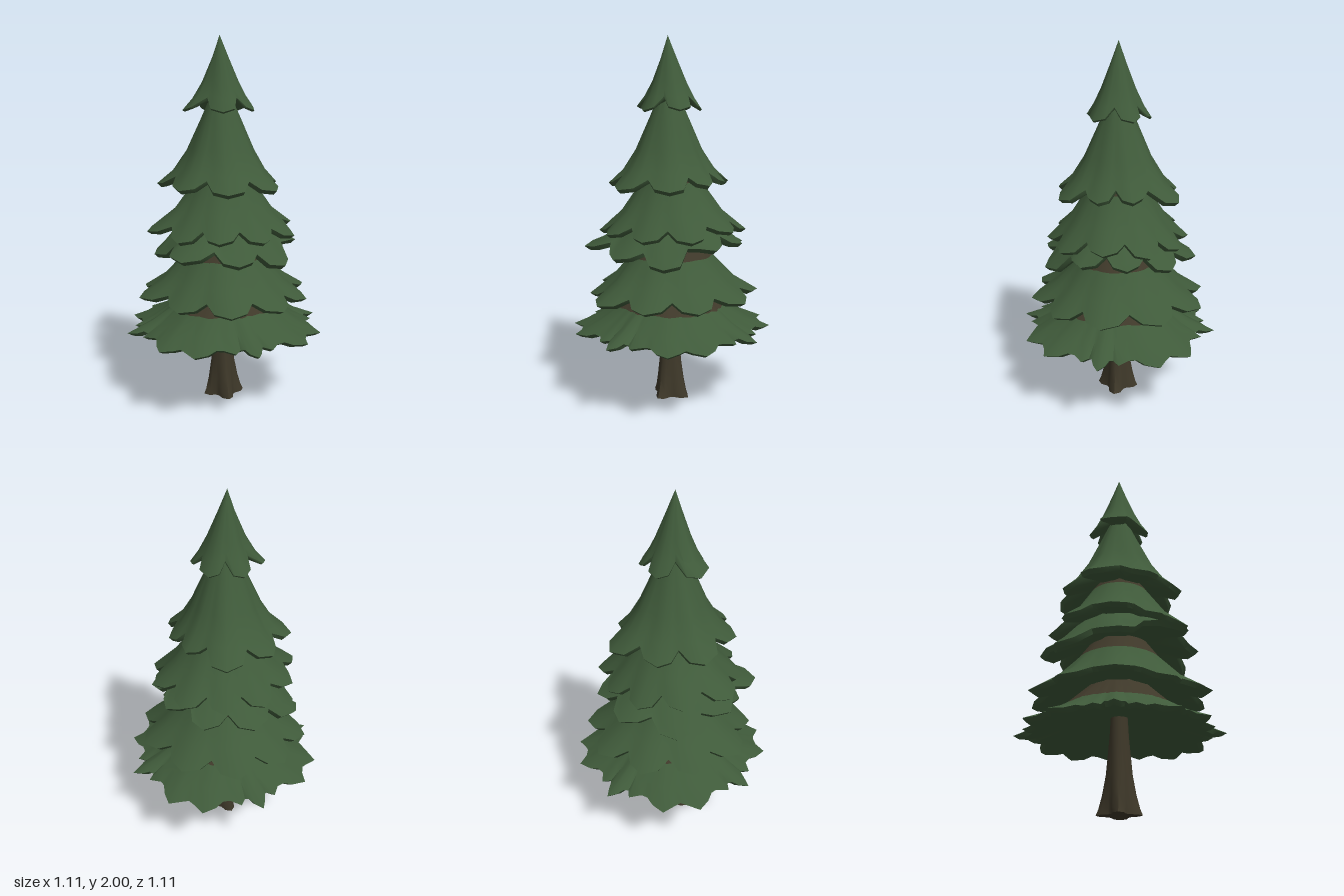
import * as THREE from 'three';
import { toCreasedNormals } from 'three/addons/utils/BufferGeometryUtils.js';

const leaf = new THREE.MeshStandardMaterial({ color: 0x3f5a3a });
leaf.name = 'needle green';
const bark = new THREE.MeshStandardMaterial({ color: 0x3e3829 });
bark.name = 'bark brown';

// Closed rings of points, listed from the top outwards and back underneath, joined by quads.
function loft(rings, barkRows = 0) {
  const n = rings[0].length;
  const index = [];
  for (let i = 0; i < rings.length - 1; i++) {
    for (let j = 0; j < n; j++) {
      const a = i * n + j, b = i * n + (j + 1) % n;
      index.push(a, b, a + n, b, b + n, a + n);
    }
  }
  const geometry = new THREE.BufferGeometry();
  geometry.setAttribute('position', new THREE.Float32BufferAttribute(rings.flat(2), 3));
  geometry.setIndex(index);
  const split = barkRows * n * 6;
  if (split) geometry.addGroup(0, split, 1);
  geometry.addGroup(split, index.length - split, 0);
  return toCreasedNormals(geometry, 0.95);
}

// Rim of a branch skirt: every tip gets two shoulders and a raised notch beside it.
function rimColumns(tips, notch, lift) {
  const columns = [];
  tips.forEach(([angle, r, y], k) => {
    const [nextAngle, nextR, nextY] = tips[(k + 1) % tips.length];
    const gap = (nextAngle - angle + 360) % 360;
    columns.push([angle, r, y]);
    columns.push([angle + gap * 0.3, r * 0.92, y + lift * 0.25]);
    columns.push([angle + gap * 0.5, (r + nextR) / 2 * notch, (y + nextY) / 2 + lift]);
    columns.push([angle + gap * 0.7, nextR * 0.92, nextY + lift * 0.25]);
  });
  return columns;
}

// One skirt of branches; profile rows are [outward share, downward share].
function skirt({ name, tips, top, topR, profile, notch, lift,
  thick = 0.018, hollow = 0.05, barkRows = 0, cx = 0 }) {
  const columns = rimColumns(tips, notch, lift);
  const meanR = columns.reduce((s, c) => s + c[1], 0) / columns.length;
  const meanY = columns.reduce((s, c) => s + c[2], 0) / columns.length;
  const place = (angle, r, y, shift = 0) => {
    const t = THREE.MathUtils.degToRad(angle);
    return [shift + r * Math.cos(t), y, r * Math.sin(t)];
  };
  const rings = profile.map(([f, h]) => columns.map(([angle, r, y]) => {
    const rim = meanR + (r - meanR) * f;
    const drop = meanY + (y - meanY) * f;
    return place(angle, topR + (rim - topR) * f, top + (drop - top) * h, cx * (1 - f));
  }));
  rings.push(columns.map(([a, r, y]) => place(a, r * 0.94, y - thick)));
  rings.push(columns.map(([a, r, y]) => place(a, r * 0.6, meanY + hollow * 0.45 + (y - meanY) * 0.5)));
  rings.push(columns.map(([a]) => place(a, 0.03, meanY + hollow)));
  const mesh = new THREE.Mesh(loft(rings, barkRows), [leaf, bark]);
  mesh.name = name;
  return mesh;
}

// Trunk with flared roots
function makeTrunk() {
  const sides = 20;
  const rows = [[0.55, 0.042, 0], [0.4, 0.05, 0], [0.2, 0.063, 0.08],
    [0.1, 0.074, 0.16], [0.03, 0.084, 0.24], [0, 0.09, 0.3], [0, 0.001, 0]];
  const rings = rows.map(([y, r, flare]) => Array.from({ length: sides }, (_, j) => {
    const t = j / sides * Math.PI * 2;
    const k = r * (1 + flare * Math.cos(4 * t) + flare * 0.3 * Math.cos(t));
    return [-0.01 + k * Math.cos(t), y, k * Math.sin(t)];
  }));
  const mesh = new THREE.Mesh(loft(rings), bark);
  mesh.name = 'trunk';
  return mesh;
}

export function createModel() {
  const group = new THREE.Group();
  group.name = 'pineTree';
  group.add(makeTrunk());

  // Lowest skirt: the same five tips in every quarter
  const lowTips = [0, 90, 180, 270].flatMap((q) => [
    [q, 0.555, 0.415], [q + 11.5, 0.5, 0.42], [q + 34.5, 0.55, 0.41],
    [q + 55.5, 0.55, 0.41], [q + 78.5, 0.5, 0.42]]);
  group.add(skirt({
    name: 'lowestBranches', tips: lowTips, top: 0.68, topR: 0.15, hollow: 0.08, notch: 0.9, lift: 0.015,
    profile: [[0, 0], [0.42, 0.54], [0.7, 0.8], [1, 1]], barkRows: 1,
  }));

  group.add(skirt({
    name: 'lowerBranches', top: 0.91, topR: 0.16, barkRows: 1, notch: 0.8, lift: 0.04,
    tips: [[0, 0.48, 0.61], [36, 0.47, 0.6], [70, 0.49, 0.605], [104, 0.5, 0.605], [140, 0.455, 0.6],
      [180, 0.485, 0.61], [216, 0.48, 0.6], [250, 0.49, 0.605], [284, 0.5, 0.605], [320, 0.485, 0.61]],
    profile: [[0, 0], [0.23, 0.32], [0.62, 0.74], [1, 1]],
  }));

  // Uneven skirt with a long branch and two hanging ones
  group.add(skirt({
    name: 'middleBranches', top: 1.06, topR: 0.17, notch: 0.8, lift: 0.05, thick: 0.022,
    tips: [[18, 0.395, 0.9], [59, 0.42, 0.82], [98, 0.43, 0.85], [135, 0.48, 0.875], [178, 0.4, 0.85],
      [227, 0.43, 0.81], [270, 0.435, 0.86], [307, 0.42, 0.87], [342, 0.4, 0.9]],
    profile: [[0, 0], [0.5, 0.5], [0.8, 0.84], [1, 1]],
  }));

  group.add(skirt({
    name: 'upperMiddleBranches', top: 1.27, topR: 0.14, barkRows: 1, notch: 0.8, lift: 0.05,
    tips: [[0, 0.4, 0.98], [38, 0.4, 0.95], [76, 0.39, 0.95], [112, 0.4, 0.96], [145, 0.4, 0.95],
      [183, 0.43, 0.97], [222, 0.4, 0.97], [258, 0.39, 0.95], [292, 0.39, 0.95], [325, 0.41, 0.96]],
    profile: [[0, 0], [0.1, 0.15], [0.55, 0.67], [1, 1]],
  }));

  group.add(skirt({
    name: 'upperBranches', top: 1.72, topR: 0.04, lift: 0.055, notch: 0.77, thick: 0.02, hollow: 0.03, cx: -0.02,
    tips: [[10, 0.29, 1.22], [55, 0.34, 1.2], [105, 0.36, 1.2], [150, 0.35, 1.21],
      [203, 0.37, 1.21], [243, 0.34, 1.2], [290, 0.37, 1.2], [333, 0.295, 1.225]],
    profile: [[0, 0], [0.24, 0.3], [0.52, 0.65], [0.75, 0.86], [1, 1]],
  }));

  group.add(skirt({
    name: 'treetop', top: 2, topR: 0, lift: 0.07, notch: 0.65, thick: 0.008, hollow: 0.03, cx: -0.025,
    tips: [[38, 0.17, 1.61], [110, 0.18, 1.605], [190, 0.225, 1.61],
      [255, 0.18, 1.605], [318, 0.165, 1.61]],
    profile: [[0, 0], [0.25, 0.3], [0.55, 0.64], [0.78, 0.85], [1, 1]],
  }));

  return group;
}
